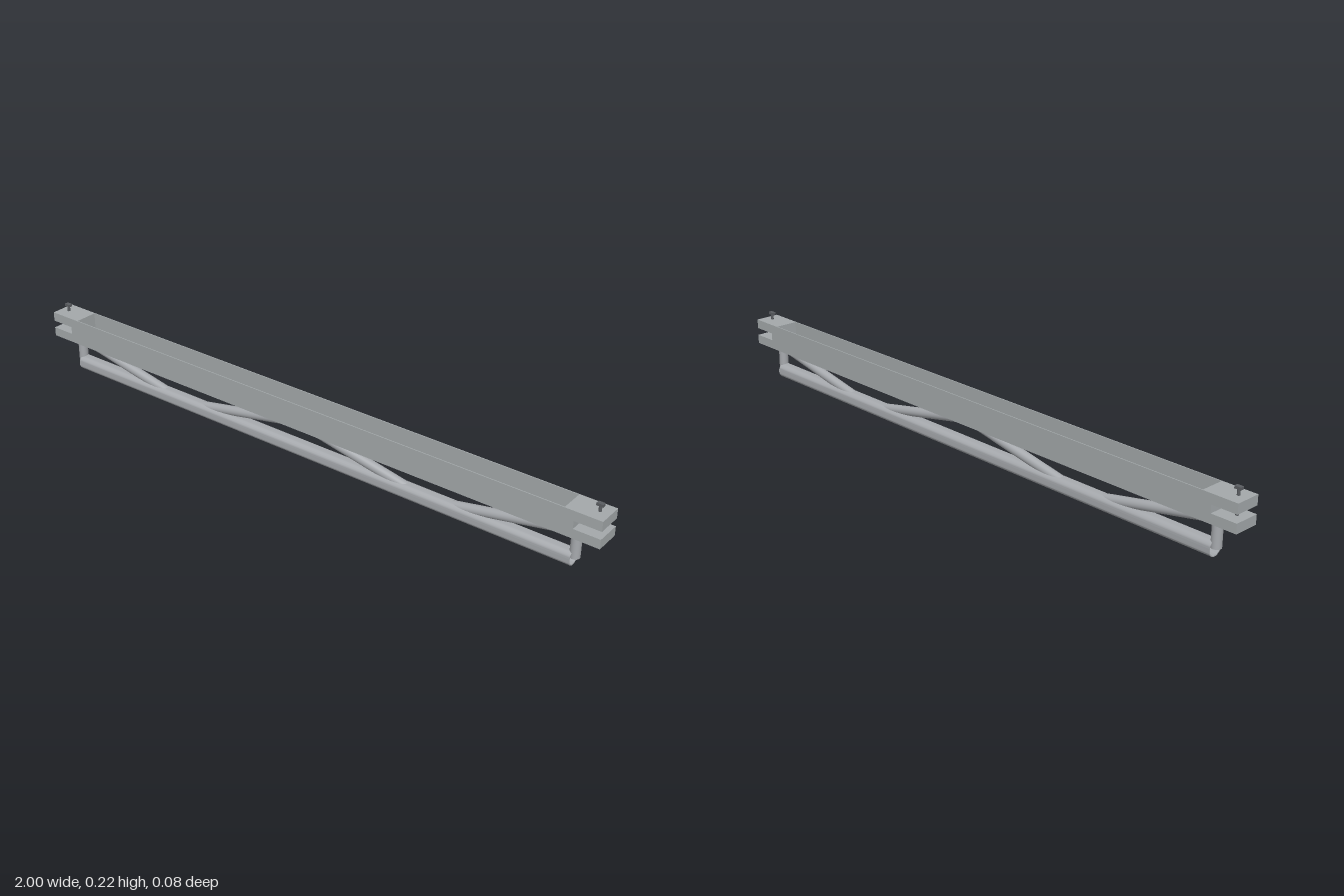
import * as THREE from 'three';
import { toCreasedNormals } from 'three/addons/utils/BufferGeometryUtils.js';

export function createModel() {
  const group = new THREE.Group();
  const material = (name, color) => {
    const m = new THREE.MeshStandardMaterial({ color });
    m.name = name;
    return m;
  };
  const beamSteel = material('beam steel', 0xa3a8aa);
  const tubeSteel = material('tube steel', 0xa6a9ad);
  const boltSteel = material('dark bolt steel', 0x5a5d61);

  const add = (name, geometry, mat, x = 0, y = 0, z = 0) => {
    const mesh = new THREE.Mesh(geometry, mat);
    mesh.name = name;
    mesh.position.set(x, y, z);
    group.add(mesh);
    return mesh;
  };
  const outline = (points) => new THREE.Shape(points.map(([x, y]) => new THREE.Vector2(x, y)));
  const extrude = (shape, depth, curveSegments = 12) => {
    const geometry = new THREE.ExtrudeGeometry(shape, { depth, bevelEnabled: false, curveSegments });
    return geometry.translate(0, 0, -depth / 2);
  };

  const bottom = 0.107, top = 0.19, half = 0.04, wall = 0.003;

  // Open-topped channel beam, a U section swept along x
  const channel = extrude(outline([
    [-half, bottom], [half, bottom], [half, top], [half - wall, top],
    [half - wall, bottom + wall], [-half + wall, bottom + wall], [-half + wall, top], [-half, top],
  ]), 1.79).rotateY(Math.PI / 2);
  add('channelBeam', channel, beamSteel);

  // Hollow lower chord
  const ring = new THREE.Shape().absarc(0, 0, 0.0245, 0, Math.PI * 2, false);
  ring.holes.push(new THREE.Path().absarc(0, 0, 0.0215, 0, Math.PI * 2, true));
  const chord = toCreasedNormals(extrude(ring, 1.824, 16).rotateY(Math.PI / 2), 0.6);
  add('lowerTube', chord, tubeSteel, 0, 0.0245, 0);

  // Zigzag bracing rod
  const path = new THREE.CurvePath();
  const stops = [[-0.915, 0.11], [-0.5, 0.027], [-0.42, 0.027], [0, 0.11],
    [0.42, 0.027], [0.5, 0.027], [0.915, 0.11]].map(([x, y]) => new THREE.Vector3(x, y, 0));
  for (let i = 1; i < stops.length; i++) path.add(new THREE.LineCurve3(stops[i - 1], stops[i]));
  add('bracingRod', new THREE.TubeGeometry(path, 120, 0.015, 24, false), tubeSteel);

  for (const [side, s] of [['left', 1], ['right', -1]]) {
    // Slotted end block
    const block = outline([
      [0.89, bottom], [1, bottom], [1, 0.136], [0.92, 0.136],
      [0.92, 0.16], [1, 0.16], [1, top], [0.89, top],
    ]);
    const mesh = add(side + 'EndBlock', extrude(block, half * 2), beamSteel);
    if (s < 0) mesh.rotation.y = Math.PI;

    // End post
    add(side + 'Post', new THREE.CylinderGeometry(0.015, 0.015, 0.085, 24), tubeSteel, s * 0.915, 0.0695);

    // Clamping bolt through the slot
    add(side + 'BoltShaft', new THREE.CylinderGeometry(0.0045, 0.0045, 0.109, 12), boltSteel, s * 0.97, 0.1535);
    add(side + 'BoltHead', new THREE.BoxGeometry(0.02, 0.008, 0.0125), boltSteel, s * 0.97, 0.211);
  }
  return group;
}
